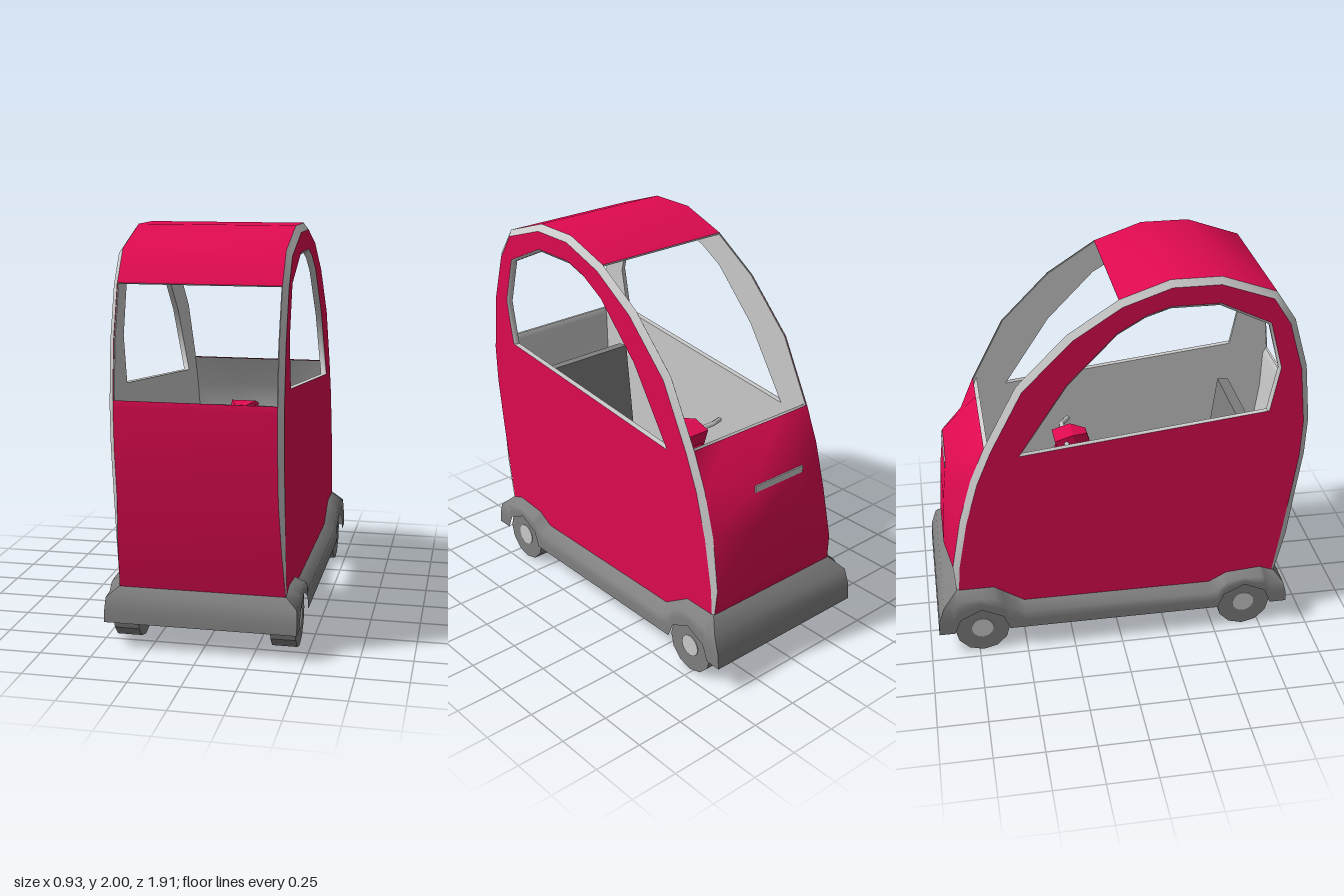
import * as THREE from 'three';

const mat = (color, flatShading = false) =>
  new THREE.MeshStandardMaterial({ color, flatShading, side: THREE.DoubleSide });
const red = mat(0xe00a50), redFlat = mat(0xe00a50, true);
const grey = mat(0xcccccc), dark = mat(0x808080), darkFlat = mat(0x808080, true);

const mesh = (parent, name, geometry, material, x = 0, y = 0, z = 0) => {
  const m = new THREE.Mesh(geometry, material);
  m.name = name;
  m.position.set(x, y, z);
  parent.add(m);
  return m;
};

// Surface through rows of [x, y, z] points
function grid(rows) {
  const n = rows[0].length, index = [];
  for (let i = 0; i < rows.length - 1; i++)
    for (let j = 0; j < n - 1; j++) {
      const a = i * n + j, b = a + 1, c = b + n, d = a + n;
      index.push(a, b, c, a, c, d);
    }
  const g = new THREE.BufferGeometry();
  g.setAttribute('position', new THREE.Float32BufferAttribute(rows.flat(2), 3));
  g.setIndex(index);
  g.computeVertexNormals();
  return g;
}

// Piecewise linear lookup in a list of [key, value], keys falling
function lookup(list, k) {
  if (k >= list[0][0]) return list[0][1];
  for (let i = 1; i < list.length; i++) {
    const [k0, v0] = list[i - 1], [k1, v1] = list[i];
    if (k >= k1) return v0 + (v1 - v0) * (k - k0) / (k1 - k0);
  }
  return list[list.length - 1][1];
}

// Side outline as [z, y], from the front foot over the roof to the back foot
const outline = [[0.83, 0.3], [0.885, 0.52], [0.92, 0.77], [0.95, 1], [0.957, 1.2], [0.925, 1.5],
  [0.85, 1.755], [0.75, 1.905], [0.48, 2], [0.235, 2], [-0.01, 1.915], [-0.255, 1.755],
  [-0.505, 1.5], [-0.67, 1.18], [-0.745, 1], [-0.81, 0.77], [-0.86, 0.5], [-0.85, 0.365]];
const sill = [[-0.66, 0.36], [-0.505, 0.26], [0.48, 0.26], [0.57, 0.31], [0.75, 0.325]];
const windowLine = [[0.745, 1.275], [0.79, 1.51], [0.725, 1.755], [0.475, 1.875], [0.235, 1.875],
  [0.115, 1.835], [-0.02, 1.755], [-0.265, 1.5], [-0.505, 1.13]];
const FACE = 0.405, INNER = 0.375;
const edgeX = (y) => lookup([[0.75, 0.38], [0.3, 0.402]], y);

// Moves an open path inwards (to its left)
const inset = (path, d) => path.map(([z, y], i) => {
  const a = path[Math.max(i - 1, 0)], b = path[Math.min(i + 1, path.length - 1)];
  const l = Math.hypot(b[0] - a[0], b[1] - a[1]);
  const k = (i === 0 || i === path.length - 1) ? d * 0.4 : d;
  return [z - (b[1] - a[1]) / l * k, y + (b[0] - a[0]) / l * k];
});

const sideFace = (pts, hole, x, outward) => {
  const s = outward ? -1 : 1;
  const v = (list) => list.map(([z, y]) => new THREE.Vector2(z * s, y));
  const shape = new THREE.Shape(v(pts));
  shape.holes.push(new THREE.Path(v(hole)));
  return new THREE.ShapeGeometry(shape).rotateY(-s * Math.PI / 2).translate(x, 0, 0);
};

// Side wall with chamfered rim and window; the lining stops above the skirt
function sideWall() {
  const g = new THREE.Group();
  g.name = 'sideWall';
  const at = (path, x) => path.map(([z, y]) => [typeof x === 'number' ? x : x(y), y, z]);
  const face = inset(outline, 0.032), under = inset(outline, 0.006);
  const innerWindow = windowLine.map(([z, y]) => [0.14 + (z - 0.14) * 0.985, 1.2 + (y - 1.2) * 0.98]);
  const closed = (path, x) => at([...path, path[0]], x);
  mesh(g, 'sidePanel', sideFace([...face, ...sill], windowLine, FACE, true), red);
  mesh(g, 'sideLining', sideFace(under.slice(1, -1), innerWindow, INNER, false), grey);
  mesh(g, 'rimChamfer', grid([at(face, FACE), at(outline, edgeX)]), grey);
  mesh(g, 'rimEdge', grid([at(under, edgeX), at(under, INNER)]), grey);
  mesh(g, 'windowRim', grid([closed(innerWindow, INNER), closed(innerWindow, 0.395),
    closed(windowLine, FACE)]), grey);
  return g;
}

// Curved panel across the body: red outside, grey lining (from point start on) and end edges
function crossPanel(parent, name, path, start) {
  const lining = inset(path, 0.028);
  const row = ([z, y], s = 1) => [[-s * edgeX(y), y, z], [s * edgeX(y), y, z]];
  mesh(parent, name, grid(path.map((p) => row(p))), red);
  mesh(parent, name + 'Lining', grid(lining.slice(start).map((p) => row(p, -1))), grey);
  const last = path.length - 1;
  mesh(parent, name + 'StartEdge', grid([row(lining[start]), row(path[start])]), grey);
  mesh(parent, name + 'EndEdge', grid([row(path[last]), row(lining[last])]), grey);
}

const WHEELS = [0.66, -0.73], R = 0.143;

// Skirt ring around the foot, with wheel arches cut from the lower edge
function skirt() {
  const tops = [[0.83, 0.3], [0.75, 0.33], [0.57, 0.315], [0.48, 0.265], [-0.505, 0.265],
    [-0.66, 0.365], [-0.85, 0.365]];
  const arch = [[R, 0.135], [0.11, 0.215], [0, 0.268], [-0.11, 0.215], [-R, 0.135]];
  const zs = [0.89, 0.75, 0.57, 0.48, -0.505, -0.66, -0.955];
  for (const w of WHEELS) zs.push(...arch.map(([d]) => w + d));
  zs.sort((a, b) => b - a);
  const levels = [[0, 0, 0], [0.35, 0, 0.05], [0.72, 0.06, 0.32], [1, 1, 1]];
  const section = (z, s) => levels.map(([f, dx, dz]) => {
    const top = lookup(tops, z);
    let low = 0.135;
    for (const w of WHEELS) if (Math.abs(z - w) < R) low = lookup(arch, z - w);
    const front = 0.89 - 0.06 * dz, back = -0.955 + 0.105 * dz;
    return [s * (0.465 - 0.06 * dx), low + (top - low) * f, Math.min(front, Math.max(back, z))];
  }).reverse();
  const left = zs.map((z) => section(z, 1));
  const right = zs.map((z) => section(z, -1)).reverse();
  const g = new THREE.Group();
  g.name = 'skirt';
  mesh(g, 'leftSkirt', grid(left), dark);
  mesh(g, 'rightSkirt', grid(right), dark);
  mesh(g, 'backBumper', grid([left.at(-1), right[0]]), dark);
  mesh(g, 'frontBumper', grid([right.at(-1), left[0]]), dark);
  return g;
}

// Square post, tapered from half width a at the bottom to b at the top
const post = (a, b, h) =>
  new THREE.CylinderGeometry(b * Math.SQRT2, a * Math.SQRT2, h, 4).rotateY(Math.PI / 4);

export function createModel() {
  const model = new THREE.Group();
  model.name = 'microCar';

  const wall = sideWall();
  const mirrored = wall.clone();
  mirrored.scale.x = -1;
  model.add(wall, mirrored, skirt());

  crossPanel(model, 'frontPanel', [...outline.slice(0, 5), [0.953, 1.23]], 1);
  crossPanel(model, 'roof', outline.slice(6, 11), 0);

  // Bulging back panel: [y, z at the sides, z in the middle]
  const bulge = [[1.18, -0.67, -0.67], [1, -0.745, -0.855], [0.77, -0.81, -0.88],
    [0.5, -0.86, -0.895], [0.365, -0.85, -0.85]];
  const backRows = (dz) => bulge.map(([y, side, mid]) =>
    [[-edgeX(y), y, side + dz], [-0.16, y, mid + dz], [0.16, y, mid + dz], [edgeX(y), y, side + dz]]);
  mesh(model, 'backPanel', grid(backRows(0)), red);
  mesh(model, 'backPanelLining', grid(backRows(0.02).slice(0, 4)), grey);
  mesh(model, 'backHandle', new THREE.BoxGeometry(0.32, 0.035, 0.02), grey, 0, 0.975, -0.853);

  // Wheels with hubs
  for (const s of [1, -1])
    for (const z of WHEELS) {
      const tyre = new THREE.CylinderGeometry(R, R, 0.122, 12).rotateZ(Math.PI / 2);
      const hub = new THREE.CylinderGeometry(0.057, 0.057, 0.02, 16).rotateZ(Math.PI / 2);
      mesh(model, 'wheel', tyre, darkFlat, s * 0.384, R, z);
      mesh(model, 'hub', hub, grey, s * 0.439, R, z);
    }

  // Seat
  mesh(model, 'seatCushion', new THREE.BoxGeometry(0.6, 0.08, 0.55), darkFlat, 0, 0.49, 0.335);
  mesh(model, 'seatBack', new THREE.BoxGeometry(0.6, 0.64, 0.06), darkFlat, 0, 0.78, 0.65).rotation.x = 0.12;

  // Steering column, head and handlebar
  const column = mesh(model, 'steeringColumn', post(0.065, 0.035, 0.68), redFlat, 0, 0.61, -0.4);
  column.rotation.x = 0.444;
  column.scale.z = 0.6;
  const head = new THREE.Group();
  head.name = 'steeringHead';
  head.position.set(0, 0.95, -0.22);
  head.rotation.x = -0.3;
  mesh(head, 'headBlock', new THREE.BoxGeometry(0.13, 0.13, 0.1), redFlat);
  mesh(head, 'headNose', post(0.065, 0.03, 0.07), redFlat, 0, 0, 0.085).rotation.x = Math.PI / 2;
  model.add(head);
  const bar = [[-0.245, 0.96, -0.18], [-0.155, 0.98, -0.225], [0.155, 0.98, -0.225], [0.245, 0.96, -0.18]]
    .map((p) => new THREE.Vector3(...p));
  const barPath = new THREE.CurvePath();
  for (let i = 0; i < 3; i++) barPath.add(new THREE.LineCurve3(bar[i], bar[i + 1]));
  mesh(model, 'handlebar', new THREE.TubeGeometry(barPath, 20, 0.014, 6), grey);

  return model;
}
